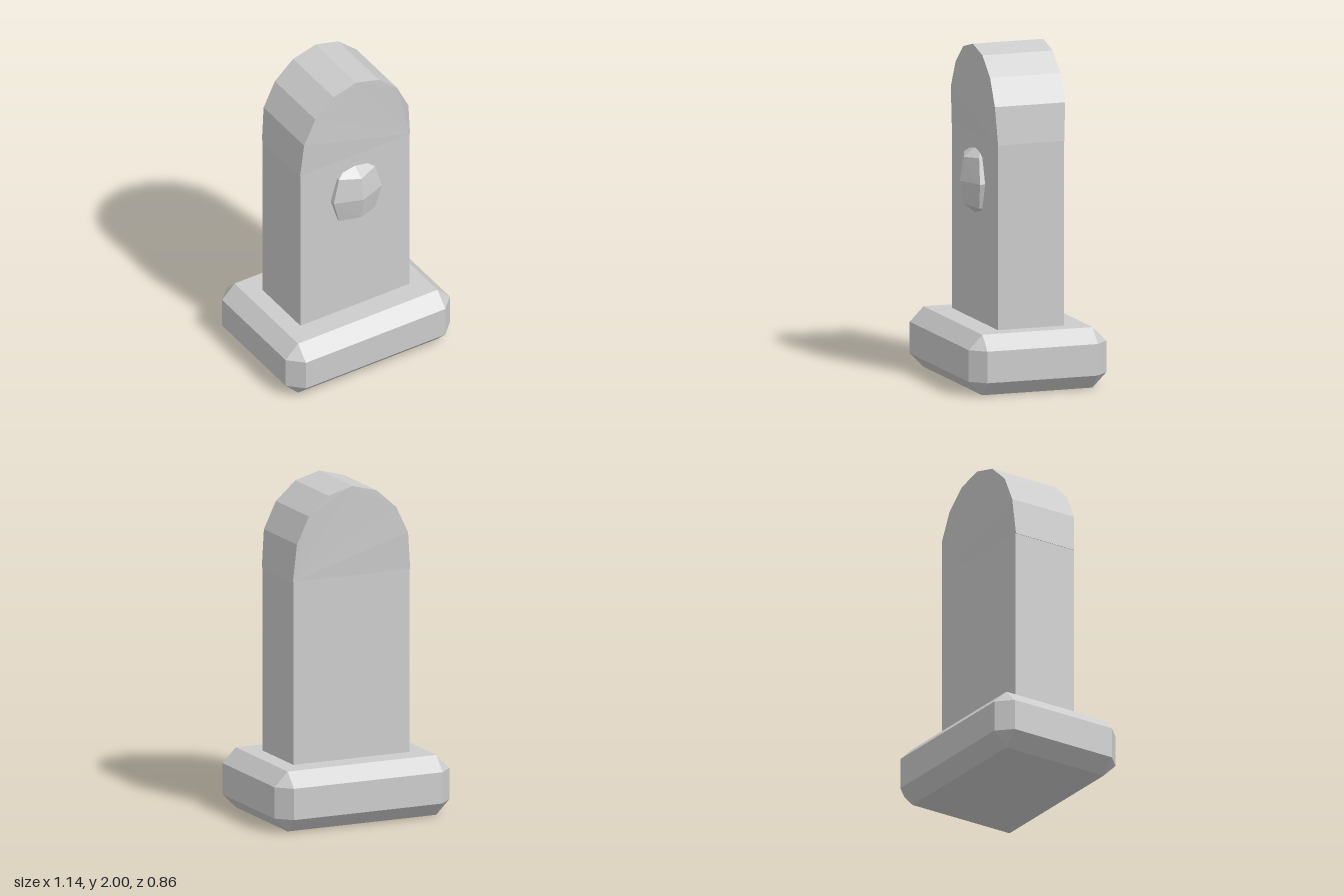
import * as THREE from 'three';
import { ConvexGeometry } from 'three/addons/geometries/ConvexGeometry.js';

const stone = new THREE.MeshStandardMaterial({ color: 0xcccccc });
stone.name = 'stone';

function part(name, geometry) {
  const mesh = new THREE.Mesh(geometry, stone);
  mesh.name = name;
  return mesh;
}

// Box with every edge cut off: three points at each of the eight corners
function chamferedBox(w, h, d, cut) {
  const points = [];
  for (const x of [-1, 1]) for (const y of [-1, 1]) for (const z of [-1, 1]) {
    for (let axis = 0; axis < 3; axis++) {
      const size = [w / 2, h / 2, d / 2].map((s, i) => (i === axis ? s : s - cut));
      points.push(new THREE.Vector3(x * size[0], y * size[1], z * size[2]));
    }
  }
  return new ConvexGeometry(points);
}

// Faceted round top, slightly thicker than the slab and narrowing to meet it
function archGeometry() {
  const right = [[0.382, 1.46], [0.362, 1.685], [0.284, 1.846], [0.157, 1.958]];
  const left = right.map(([x, y]) => [-x, y]).reverse();
  const outline = [...right, [0, 2], ...left].map(([x, y]) => new THREE.Vector2(x, y));
  const geo = new THREE.ExtrudeGeometry(new THREE.Shape(outline), { depth: 0.44, bevelEnabled: false });
  geo.translate(0, 0, -0.22);
  const pos = geo.attributes.position;
  for (let i = 0; i < pos.count; i++) {
    if (pos.getY(i) < 1.5) pos.setZ(i, Math.sign(pos.getZ(i)) * 0.207);
  }
  geo.computeVertexNormals();
  return geo;
}

// Faceted boss, mirrored left/right and above/below its middle
function bossGeometry() {
  const quarter = [
    [0, 0, 0.3], [0.168, 0, 0.239], [0.168, 0, 0.19],
    [0, 0.14, 0.277], [0.125, 0.15, 0.228], [0.12, 0.15, 0.19],
    [0, 0.193, 0.206], [0.085, 0.176, 0.206], [0, 0.193, 0.19],
  ];
  const points = [];
  for (const [x, y, z] of quarter) {
    for (const sx of x ? [-1, 1] : [1]) for (const sy of y ? [-1, 1] : [1]) {
      points.push(new THREE.Vector3(sx * x, 1.19 + sy * y, z));
    }
  }
  return new ConvexGeometry(points);
}

export function createModel() {
  const model = new THREE.Group();
  model.name = 'headstone';

  const base = part('base', chamferedBox(1.14, 0.36, 0.862, 0.086));
  base.position.y = 0.18;

  const slab = part('slab', new THREE.BoxGeometry(0.758, 1.16, 0.414));
  slab.position.y = 0.88;

  model.add(base, slab, part('archedTop', archGeometry()), part('frontBoss', bossGeometry()));
  return model;
}
